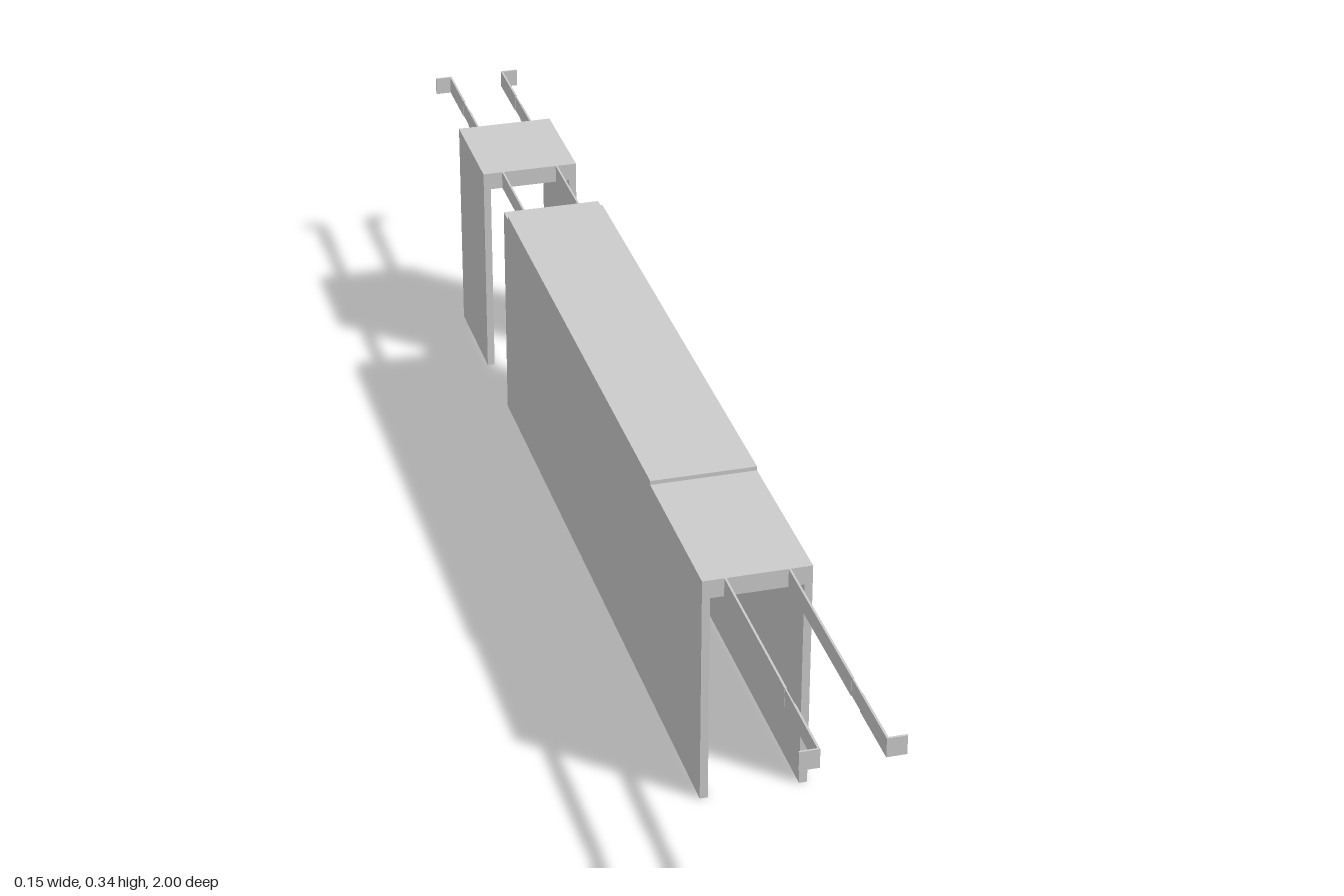
import * as THREE from 'three';

export function createModel() {
  const model = new THREE.Group();
  model.name = 'railCoveredFrame';
  const material = new THREE.MeshStandardMaterial({ color: 0xcccccc, flatShading: true });

  // Box given by its minimum and maximum on each axis
  const box = (name, [x0, x1], [y0, y1], [z0, z1]) => {
    const mesh = new THREE.Mesh(new THREE.BoxGeometry(x1 - x0, y1 - y0, z1 - z0), material);
    mesh.position.set((x0 + x1) / 2, (y0 + y1) / 2, (z0 + z1) / 2);
    mesh.name = name;
    model.add(mesh);
  };
  // The same box on both sides
  const pair = (name, [x0, x1], y, z) => {
    box(name + 'Left', [x0, x1], y, z);
    box(name + 'Right', [-x1, -x0], y, z);
  };

  const outer = 0.0742, inner = 0.063, under = 0.311, top = 0.338;

  // Long front section and short rear section: two walls joined by a roof slab
  for (const [name, z] of [['main', [-0.49, 0.605]], ['rear', [-0.8, -0.627]]]) {
    pair(name + 'Wall', [inner, outer], [0, top], z);
    box(name + 'Roof', [-inner, inner], [under, top], z);
  }

  // Raised plate on the long roof
  box('roofPlate', [-outer, outer], [top, 0.344], [-0.463, 0.355]);

  // Thin rails between the sections and out of both ends
  const rail = [0.0415, 0.0445], railY = [under, top];
  pair('middleRail', rail, railY, [-0.627, -0.49]);
  for (const [name, start, s] of [['front', 0.605, 1], ['back', 0.8, -1]]) {
    const span = (a, b) => (s > 0 ? [a, b] : [-b, -a]);
    pair(name + 'Rail', rail, railY, span(start, 0.865));
    // Slightly recessed splice in the rail
    pair(name + 'Splice', [0.042, 0.044], [under + 0.001, top - 0.001], span(0.865, 0.9));
    pair(name + 'RailTip', rail, railY, span(0.9, 1));
    // Outward-turned end tab
    pair(name + 'Tab', [0.0445, 0.068], railY, span(0.997, 1));
  }

  // Slight turn about the vertical axis
  model.rotation.y = 0.002;
  return model;
}
